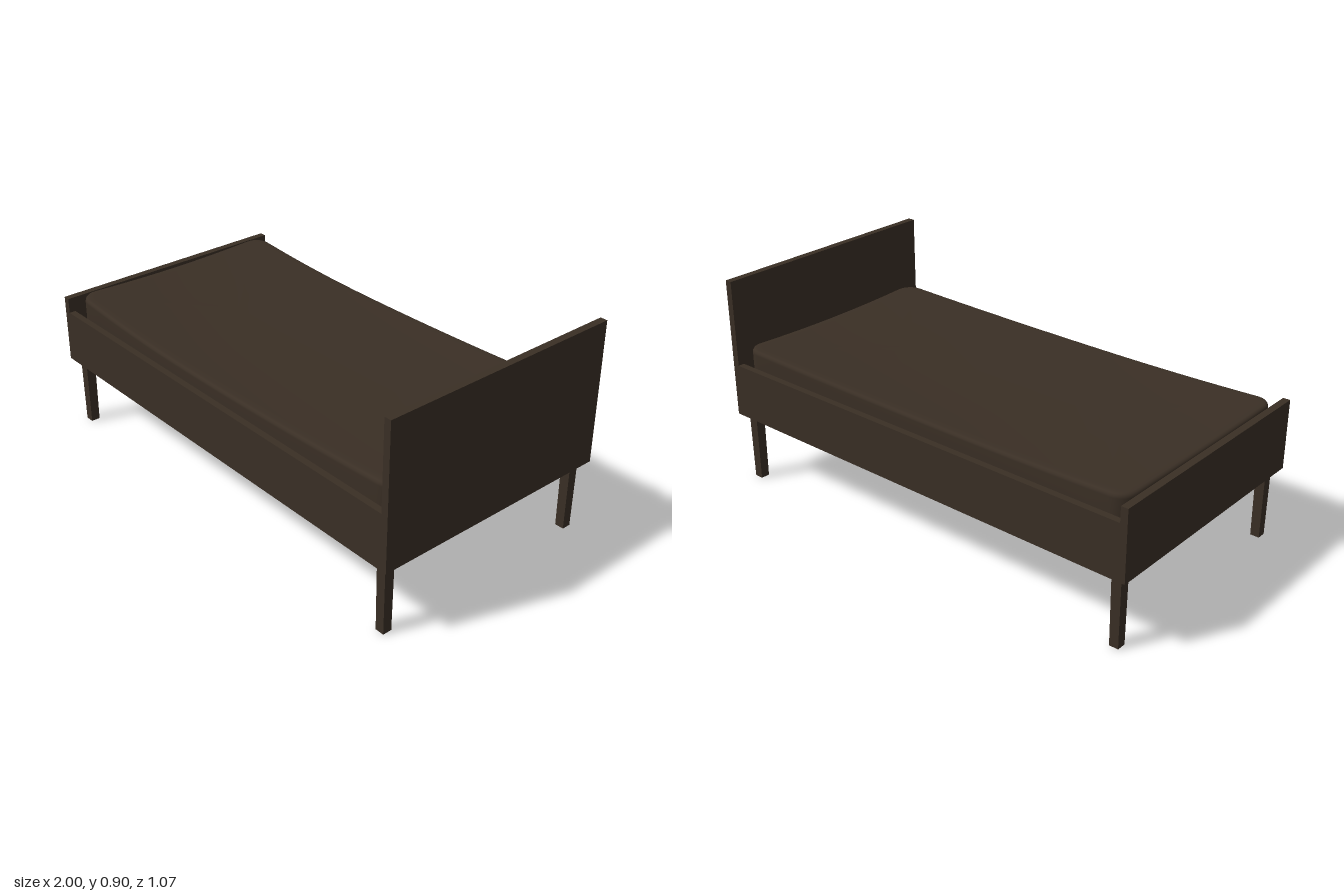
import * as THREE from 'three';

export function createModel() {
  const bed = new THREE.Group();
  bed.name = 'bed';
  const brown = new THREE.MeshStandardMaterial({ color: 0x3a2f25 });
  brown.name = 'darkBrown';

  const add = (name, geometry, x = 0, y = 0, z = 0) => {
    const mesh = new THREE.Mesh(geometry, brown);
    mesh.name = name;
    mesh.position.set(x, y, z);
    bed.add(mesh);
    return mesh;
  };
  // Box from its lower and upper limits
  const block = (name, x0, x1, y0, y1, z0, z1) =>
    add(name, new THREE.BoxGeometry(x1 - x0, y1 - y0, z1 - z0),
      (x0 + x1) / 2, (y0 + y1) / 2, (z0 + z1) / 2);

  // End boards and side rails
  block('headboard', 0.97, 1, 0.3, 0.9, -0.533, 0.533);
  block('footboard', -1, -0.97, 0.3, 0.595, -0.533, 0.533);
  block('backRail', -0.97, 0.97, 0.3, 0.53, -0.533, -0.505);
  block('frontRail', -0.97, 0.97, 0.3, 0.53, 0.505, 0.533);

  // Tapered square legs reaching up inside the frame corners
  const legHeight = 0.45;
  const legGeometry = new THREE.BoxGeometry(0.044, legHeight, 0.044);
  const lp = legGeometry.attributes.position;
  for (let i = 0; i < lp.count; i++) {
    if (lp.getY(i) < 0) {
      lp.setX(i, lp.getX(i) * 0.88);
      lp.setZ(i, lp.getZ(i) * 0.88);
    }
  }
  legGeometry.computeVertexNormals();
  for (const sx of [-1, 1]) {
    for (const sz of [-1, 1]) add('leg', legGeometry, sx * 0.945, legHeight / 2, sz * 0.481);
  }

  // Narrow cross slats under the mattress
  for (let i = 0; i < 12; i++) {
    const x = -0.82 + i * 0.1487;
    block('slat', x - 0.01, x + 0.01, 0.438, 0.46, -0.505, 0.505);
  }

  add('mattress', mattressGeometry());
  return bed;
}

// Rounded rectangle in the ground plane, with extra points along the straight sides
function outline(hw, hd, r) {
  const points = [];
  const corners = [[1, 1], [-1, 1], [-1, -1], [1, -1]];
  const arc = 6;
  corners.forEach(([sx, sz], c) => {
    for (let k = 0; k <= arc; k++) {
      const a = (c + k / arc) * Math.PI / 2;
      points.push([sx * (hw - r) + r * Math.cos(a), sz * (hd - r) + r * Math.sin(a)]);
    }
    const [x, z] = points[points.length - 1];
    const [nx, nz] = corners[(c + 1) % 4];
    const a = (c + 1) * Math.PI / 2;
    const ex = nx * (hw - r) + r * Math.cos(a), ez = nz * (hd - r) + r * Math.sin(a);
    const steps = c % 2 ? 8 : 20;
    for (let k = 1; k < steps; k++) {
      points.push([x + (ex - x) * k / steps, z + (ez - z) * k / steps]);
    }
  });
  return points;
}

// Stacked outlines from the underside centre to the top centre, then a soft sag
function mattressGeometry() {
  const hw = 0.967, hd = 0.489, radius = 0.075, low = 0.46, high = 0.606;
  const rings = [
    [hd, low], [0.012, low], [0.003, low + 0.004], [0, low + 0.015],
    [0, high - 0.02], [0.002, high - 0.011], [0.007, high - 0.004], [0.016, high],
    [0.04, high], [0.12, high], [0.22, high], [0.34, high], [hd, high],
  ];
  const positions = [], index = [];
  let n = 0;
  rings.forEach(([inset, y], j) => {
    const ring = outline(hw - inset, hd - inset, Math.max(0, radius - inset));
    n = ring.length;
    ring.forEach(([x, z], i) => {
      const t = (x + 0.2) / (x < -0.2 ? 0.77 : 1.17);
      const dip = 1 - t * t;
      const across = 1 - (z / hd) ** 2;
      const lift = (y - low) / (high - low);
      positions.push(
        x * (1 - 0.007 * across),
        y - lift * (0.025 * dip + 0.012 * across),
        z - 0.006 + 0.014 * dip);
      if (j > 0) {
        const a = (j - 1) * n + i, b = (j - 1) * n + (i + 1) % n;
        index.push(a, a + n, b, b, a + n, b + n);
      }
    });
  });
  const geometry = new THREE.BufferGeometry();
  geometry.setAttribute('position', new THREE.Float32BufferAttribute(positions, 3));
  geometry.setIndex(index);
  geometry.computeVertexNormals();
  return geometry;
}
